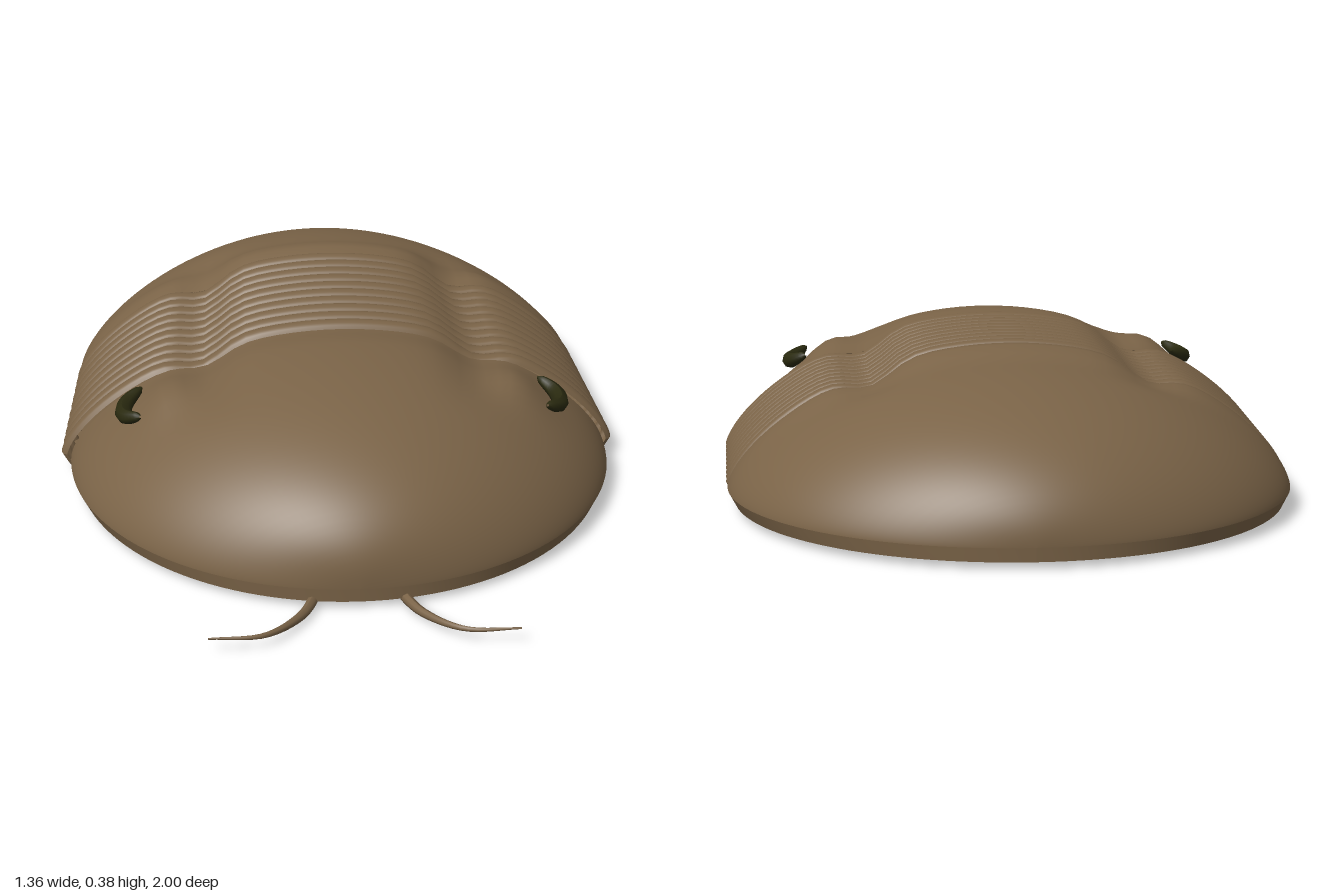
import * as THREE from 'three';

const RIM = 0.045, BASE = 0.015, HALF = 28;
const gauss = (v, c, r) => Math.exp(-(((v - c) / r) ** 2));
const lerp = THREE.MathUtils.lerp;

// Height of the shell at one point of a cross-section
function shellHeight(x, s, row) {
  const dome = Math.pow(Math.max(0, 1 - s * s), 0.7);
  const groove = row.groove * gauss(Math.abs(s), 0.49, 0.1);
  const eyeLobe = 0.022 * gauss(Math.abs(x), 0.42, 0.06) * gauss(row.z, 0.29, 0.08);
  return RIM + (row.h - RIM) * (dome - groove) + eyeLobe * Math.min(1, row.w / 0.6);
}

// Surface through rows of points; rows run from back to front
function loft(rows) {
  const n = rows[0].length, index = [];
  for (let i = 0; i < rows.length - 1; i++) {
    for (let j = 0; j < n - 1; j++) {
      const a = i * n + j, b = a + n;
      index.push(a, b, a + 1, b, b + 1, a + 1);
    }
  }
  const geometry = new THREE.BufferGeometry();
  geometry.setAttribute('position', new THREE.Float32BufferAttribute(rows.flat(2), 3));
  geometry.setIndex(index);
  geometry.computeVertexNormals();
  return geometry;
}

// Arched top, bevelled rim and flat underside from one list of sections
function shellPart(name, sections, material) {
  const group = new THREE.Group();
  group.name = name;
  const top = sections.map(row => {
    const points = [];
    for (let j = -HALF; j <= HALF; j++) {
      const s = Math.sin((j / HALF) * Math.PI / 2), x = s * row.w;
      points.push([x, shellHeight(x, s, row), row.z]);
    }
    return points;
  });
  const edge = (row, side) => [[side * row.w, RIM, row.z], [side * row.w * 0.975, BASE, row.z]];
  const surfaces = {
    Top: top,
    LeftRim: sections.map(row => edge(row, 1)),
    RightRim: sections.map(row => edge(row, -1).reverse()),
    Underside: sections.map(row => [[row.w * 0.975, BASE, row.z], [-row.w * 0.975, BASE, row.z]]),
  };
  for (const [suffix, rows] of Object.entries(surfaces)) {
    const mesh = new THREE.Mesh(loft(rows), material);
    mesh.name = name + suffix;
    group.add(mesh);
  }
  return group;
}

// Tube along a curve whose radius changes along its length
function taperedTube(name, points, radiusAt, material) {
  const curve = new THREE.CatmullRomCurve3(points.map(p => new THREE.Vector3(...p)));
  const steps = 20, sides = 8;
  const geometry = new THREE.TubeGeometry(curve, steps, 1, sides, false);
  const position = geometry.attributes.position, v = new THREE.Vector3();
  for (let i = 0; i <= steps; i++) {
    const centre = curve.getPointAt(i / steps);
    for (let j = 0; j <= sides; j++) {
      const k = i * (sides + 1) + j;
      v.fromBufferAttribute(position, k).sub(centre).multiplyScalar(radiusAt(i / steps)).add(centre);
      position.setXYZ(k, v.x, v.y, v.z);
    }
  }
  geometry.computeVertexNormals();
  const mesh = new THREE.Mesh(geometry, material);
  mesh.name = name;
  return mesh;
}

export function createModel() {
  const model = new THREE.Group();
  model.name = 'trilobite';
  const shell = new THREE.MeshStandardMaterial({ color: 0x7a6347, side: THREE.DoubleSide });
  shell.name = 'brown shell';
  const dark = new THREE.MeshStandardMaterial({ color: 0x2a2a10 });
  dark.name = 'dark olive';

  // Head shield, rounded towards the front
  const head = [], tail = [], thorax = [];
  const STEPS = 32;
  for (let i = 0; i <= STEPS; i++) {
    const a = (i / STEPS) * Math.PI / 2, t = Math.sin(a), c = Math.max(0, Math.cos(a));
    const z = 0.14 + 0.695 * t;
    head.push({
      z, w: 0.655 * c,
      h: RIM + 0.327 * Math.pow(c, 0.86) - 0.012 * gauss(z, 0.15, 0.04),
      groove: 0.1 * (1 - THREE.MathUtils.smoothstep(z, 0.15, 0.5)),
    });
    // Tail shield, rounded towards the back
    const zt = -0.35 - 0.65 * t;
    tail.unshift({
      z: zt, w: 0.655 * c,
      h: RIM + 0.308 * c + 0.024 * gauss(zt, -0.4, 0.05),
      groove: 0.12 * (1 - THREE.MathUtils.smoothstep(-zt, 0.36, 0.58)),
    });
  }

  // Ten ribbed body segments
  const SEGMENTS = 10, SUB = 8;
  for (let i = 0; i <= SEGMENTS * SUB; i++) {
    const t = i / (SEGMENTS * SUB);
    const bulge = Math.sqrt(Math.abs(Math.sin((i / SUB) * Math.PI)));
    thorax.push({
      z: lerp(-0.35, 0.14, t),
      w: lerp(0.643, 0.665, t) + 0.016 * bulge,
      h: 0.358 + 0.017 * bulge,
      groove: 0.13,
    });
  }
  model.add(shellPart('head', head, shell), shellPart('thorax', thorax, shell), shellPart('tail', tail, shell));

  // Crescent eyes and feelers on both sides
  for (const [side, label] of [[1, 'left'], [-1, 'right']]) {
    const mirror = points => points.map(([x, y, z]) => [side * x, y, z]);
    model.add(taperedTube(label + 'Eye', mirror([
      [0.475, 0.255, 0.215], [0.508, 0.236, 0.25], [0.517, 0.23, 0.29], [0.508, 0.234, 0.33], [0.475, 0.252, 0.37],
    ]), t => 0.003 + 0.017 * Math.sqrt(Math.max(0, Math.sin(t * Math.PI))), dark));
    model.add(taperedTube(label + 'Antenna', mirror([
      [0.09, 0.014, 0.77], [0.105, 0.014, 0.83], [0.135, 0.016, 0.895], [0.215, 0.027, 0.982], [0.33, 0.034, 0.998],
    ]), t => lerp(0.014, 0.002, t), shell));
  }
  return model;
}
